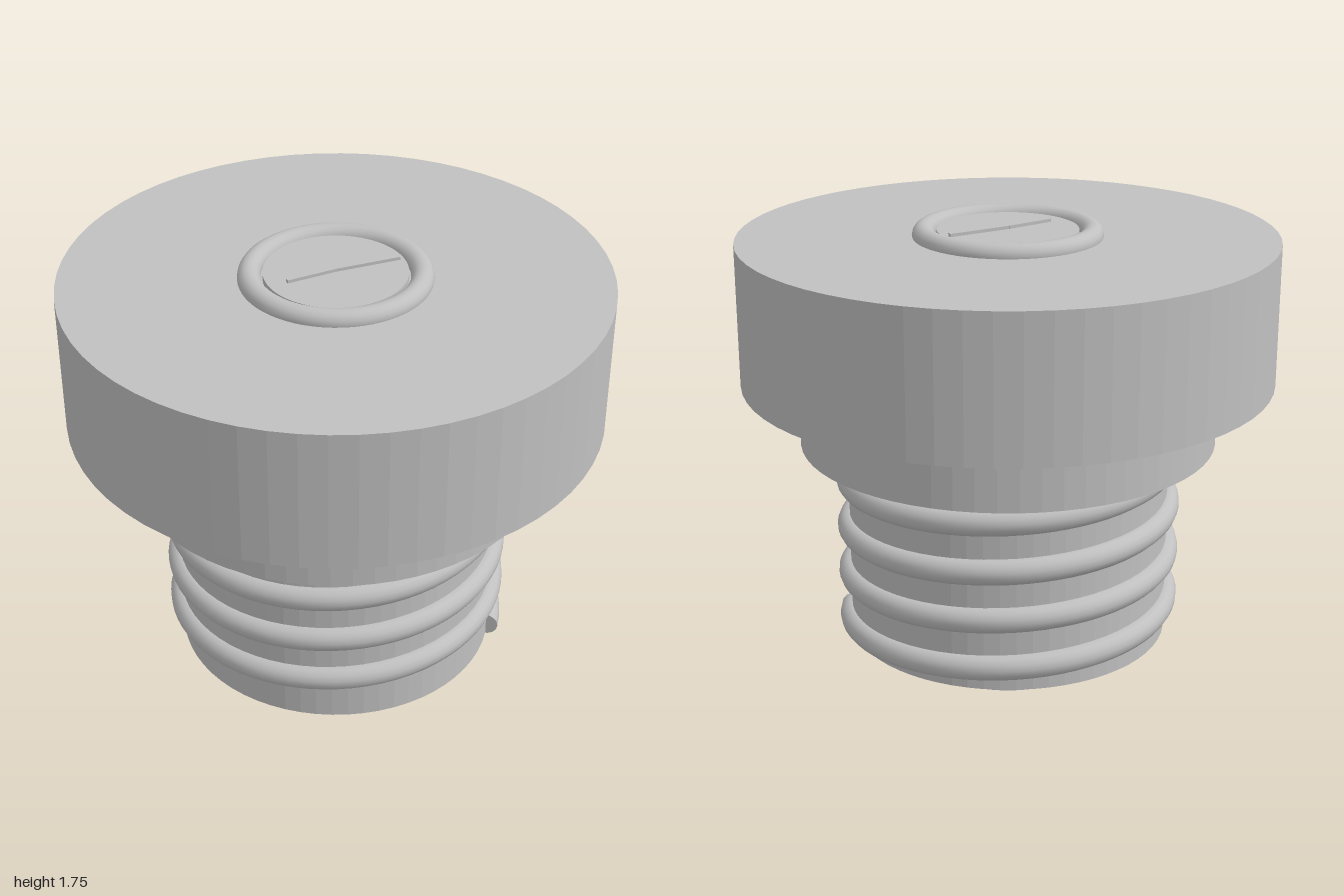
import * as THREE from 'three';

// Helical path climbing anticlockwise as seen from above
class Helix extends THREE.Curve {
  constructor(radius, y0, pitch, turns) {
    super();
    Object.assign(this, { radius, y0, pitch, turns });
  }
  getPoint(t, target = new THREE.Vector3()) {
    const a = t * this.turns * Math.PI * 2;
    return target.set(this.radius * Math.cos(a), this.y0 + this.pitch * this.turns * t, -this.radius * Math.sin(a));
  }
}

export function createModel() {
  const group = new THREE.Group();
  const metal = new THREE.MeshStandardMaterial({ color: 0xc0c0c0 });
  metal.name = 'grey metal';
  const facetedMetal = metal.clone();
  facetedMetal.flatShading = true;

  const add = (name, geometry, material = metal) => {
    const mesh = new THREE.Mesh(geometry, material);
    mesh.name = name;
    group.add(mesh);
    return mesh;
  };
  const disc = (name, radius, bottom, top) => {
    const mesh = add(name, new THREE.CylinderGeometry(radius, radius, top - bottom, 64), facetedMetal);
    mesh.position.y = (bottom + top) / 2;
  };

  // Stacked round body
  disc('bottomPeg', 0.325, 0, 0.155);
  disc('threadedShank', 0.612, 0.155, 0.925);
  disc('collar', 0.787, 0.925, 1.17);
  disc('head', 1, 1.17, 1.705);

  // Raised thread with closed ends
  const tubeRadius = 0.049;
  const path = new Helix(0.61, 0.199, 0.19, 3.93);
  add('thread', new THREE.TubeGeometry(path, 280, tubeRadius, 14, false));
  for (const [t, direction] of [[0, -1], [1, 1]]) {
    const cap = add('threadEnd', new THREE.CircleGeometry(tubeRadius, 14));
    cap.position.copy(path.getPoint(t));
    cap.lookAt(cap.position.clone().addScaledVector(path.getTangent(t), direction));
  }

  // Rounded bezel and inset dial on the head
  const bezel = add('bezel', new THREE.TorusGeometry(0.311, 0.042, 16, 64));
  bezel.rotation.x = Math.PI / 2;
  bezel.position.y = 1.711;
  disc('dial', 0.262, 1.7, 1.73);

  // Two thin hands meeting at the dial centre
  for (const [name, x, z] of [['shortHand', -0.15, 0.12], ['longHand', 0.205, -0.135]]) {
    const hand = add(name, new THREE.BoxGeometry(Math.hypot(x, z), 0.012, 0.017));
    hand.position.set(x / 2, 1.736, z / 2);
    hand.rotation.y = Math.atan2(-z, x);
  }
  return group;
}
